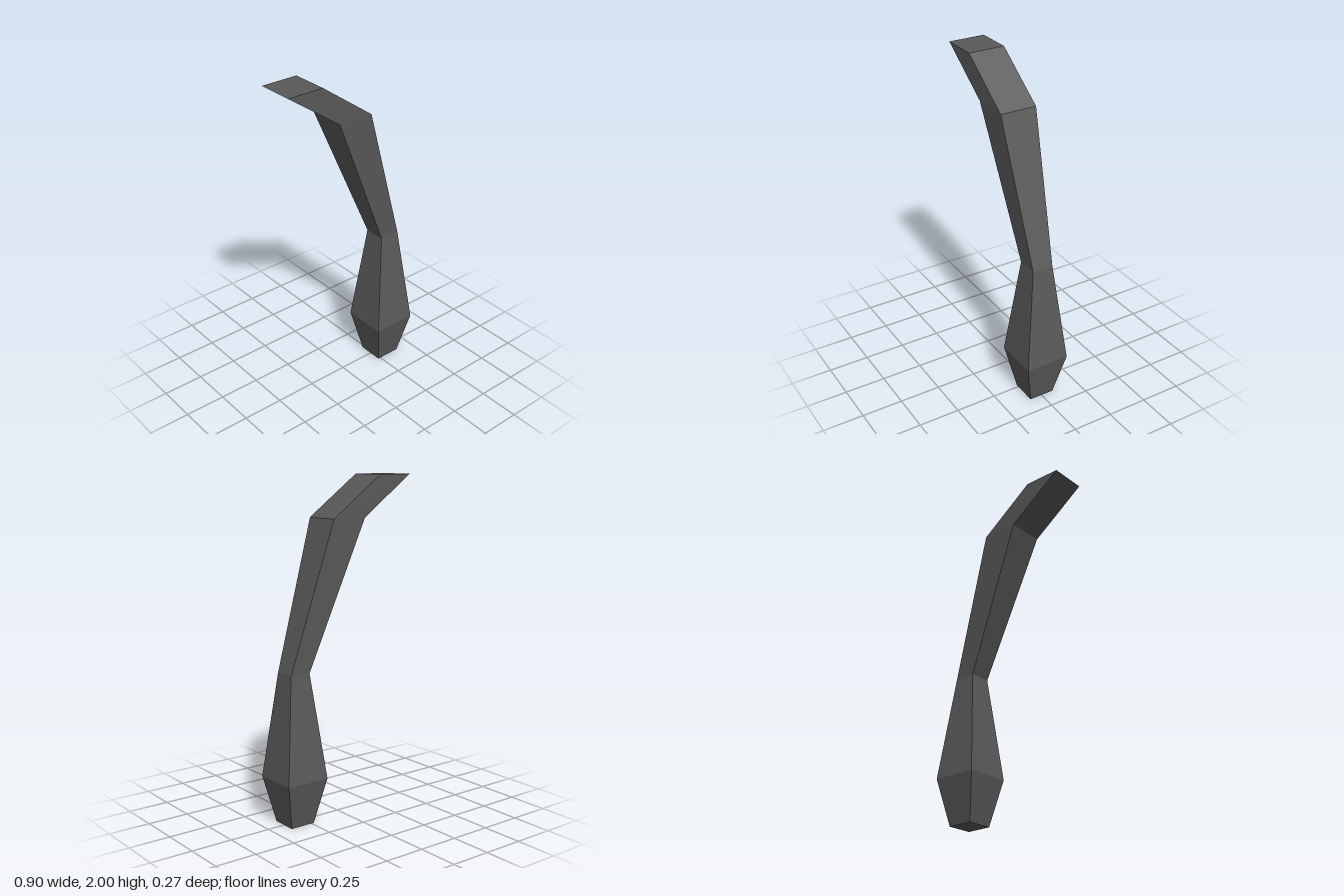
import * as THREE from 'three';

// Square cross-sections from bottom to top: height, centre x, width, depth
const SECTIONS = [
  [0.0, 0.312, 0.156, 0.156],
  [0.275, 0.312, 0.272, 0.27],
  [0.895, 0.312, 0.128, 0.128],
  [1.76, -0.002, 0.222, 0.224],
  [2.0, -0.338, 0.224, 0.224],
];

export function createModel() {
  const group = new THREE.Group();
  group.name = 'bentLimb';

  const darkGrey = new THREE.MeshStandardMaterial({ color: 0x595959 });
  darkGrey.name = 'dark grey';

  // Stack of box rows, each fitted to its cross-section
  const rows = SECTIONS.length - 1;
  const geometry = new THREE.BoxGeometry(1, 1, 1, 1, rows, 1).toNonIndexed();
  const pos = geometry.attributes.position;
  for (let i = 0; i < pos.count; i++) {
    const [y, cx, width, depth] = SECTIONS[Math.round((pos.getY(i) + 0.5) * rows)];
    pos.setXYZ(i, cx + pos.getX(i) * width, y, pos.getZ(i) * depth);
  }
  geometry.computeVertexNormals(); // unshared corners give flat facets

  const limb = new THREE.Mesh(geometry, darkGrey);
  limb.name = 'limb';
  group.add(limb);
  return group;
}
